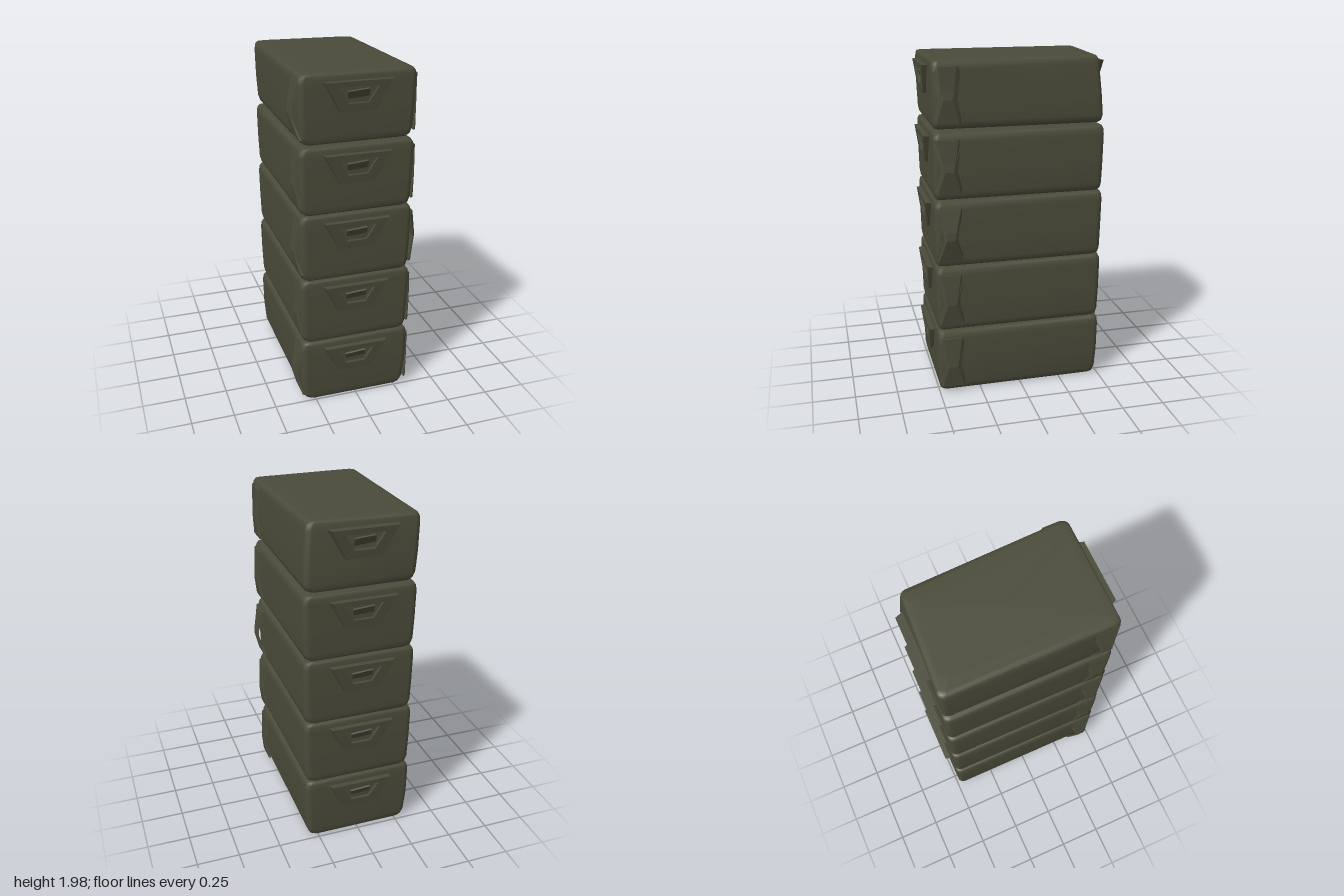
import * as THREE from 'three';

const olive = new THREE.MeshStandardMaterial({ color: 0x4b4b3a });
olive.name = 'olive drab';

// Rounded rectangle in plan, running from +x towards +z; cut pulls in the back left corner
function ring(w, d, r, y, cut) {
  const pts = [], n = 4;
  [[1, 1], [-1, 1], [-1, -1], [1, -1]].forEach(([sx, sz], q) => {
    const c = q === 3 ? cut : 0;
    for (let k = 0; k <= n; k++) {
      const a = (q + k / n) * Math.PI / 2;
      pts.push([
        sx * (w - r) + r * Math.cos(a) - c - 0.004, y,
        sz * (d - r) + r * Math.sin(a) + c + 0.006
      ]);
    }
  });
  return pts;
}

// Soft-edged case body lofted through rounded rectangles; taper pulls in the base
function bodyGeometry(y0, y1, taper, cut) {
  const h = y1 - y0, W = 0.331, D = 0.498;
  const rows = [
    [y0, 0.09 + taper], [y0, 0.03 + taper], [y0 + 0.012, 0.014 + taper], [y0 + 0.045, 0.006 + taper * 0.6],
    [y0 + h * 0.45, 0.003], [y1 - 0.05, 0], [y1 - 0.018, 0.004], [y1 - 0.003, 0.014], [y1, 0.035], [y1, 0.1]
  ];
  const pos = [], idx = [];
  rows.forEach(([y, inset]) => {
    const c = cut * Math.max(0, (y - y0) / h - 0.1);
    ring(W - inset, D - inset * 0.5, 0.035, y, c).forEach(p => pos.push(...p));
  });
  const n = pos.length / 3 / rows.length;
  for (let i = 0; i < rows.length - 1; i++) {
    for (let j = 0; j < n; j++) {
      const a = i * n + j, b = i * n + (j + 1) % n;
      idx.push(a, a + n, b, b, a + n, b + n);
    }
  }
  const bottom = pos.length / 3, top = bottom + 1, last = (rows.length - 1) * n;
  pos.push(0, y0, 0, 0, y1, 0);
  for (let j = 0; j < n; j++) {
    const k = (j + 1) % n;
    idx.push(bottom, j, k, top, last + k, last + j);
  }
  const g = new THREE.BufferGeometry();
  g.setAttribute('position', new THREE.Float32BufferAttribute(pos, 3));
  g.setIndex(idx);
  g.computeVertexNormals();
  return g;
}

const points = list => list.map(([x, y]) => new THREE.Vector2(x, y));

function part(name, geometry) {
  const m = new THREE.Mesh(geometry, olive);
  m.name = name;
  return m;
}

// Trapezoid carrying handle with an open finger recess; its top edge is at y = 0
function handle() {
  const g = new THREE.Group();
  const shape = new THREE.Shape(points([[-0.11, -0.165], [0.11, -0.165], [0.2, 0], [-0.2, 0]]));
  shape.holes.push(new THREE.Path(points([[-0.12, -0.03], [0.12, -0.03], [0.06, -0.12], [-0.06, -0.12]])));
  const frame = new THREE.ExtrudeGeometry(shape, { depth: 0.045, bevelEnabled: false });
  // Lean the lower edge back towards the case wall and slope the outer ends
  const p = frame.attributes.position;
  for (let i = 0; i < p.count; i++) {
    if (p.getZ(i) > 0.02) {
      p.setZ(i, 0.045 + p.getY(i) * 0.1);
      p.setX(i, p.getX(i) * 0.92);
    }
  }
  frame.computeVertexNormals();
  g.add(part('handleFrame', frame));
  // Folded grip inside the recess
  const grip = part('handleGrip', new THREE.BoxGeometry(0.12, 0.05, 0.01));
  grip.position.set(0, -0.07, 0.022);
  grip.rotation.set(0.5, 0, 0.12);
  g.add(grip);
  return g;
}

// Bowed strap standing off the side wall, broad at the wall and narrow at x = reach
function strap(reach, height, side) {
  const h = height / 2, t = 0.012;
  const shape = new THREE.Shape(points([
    [0.315, -h], [0.33, -h], [reach, -h * 0.15], [reach - 0.005, h * 0.15], [0.335, h], [0.315, h],
    [0.322, h - 0.03], [reach - t - 0.003, h * 0.13], [reach - t, -h * 0.13], [0.322, -h + 0.03]
  ]));
  const g = new THREE.ExtrudeGeometry(shape, { depth: 1, bevelEnabled: false });
  const p = g.attributes.position;
  for (let i = 0; i < p.count; i++) {
    const out = Math.min(1, Math.max(0, (p.getX(i) - 0.325) / (reach - 0.325)));
    const half = 0.075 - 0.05 * out;
    p.setZ(i, p.getZ(i) > 0.5 ? half : -half);
  }
  g.computeVertexNormals();
  if (side < 0) g.rotateY(Math.PI);
  return g;
}

export function createModel() {
  const model = new THREE.Group();
  model.name = 'caseStack';
  // bottom, top, base taper, corner cut, reach of the straps at -x and +x
  const cases = [
    [0.008, 0.402, 0.014, 0, 0.37, 0.35],
    [0.408, 0.803, 0.004, 0, 0.352, 0.352],
    [0.808, 1.198, 0.002, 0, 0.362, 0.368],
    [1.205, 1.588, 0.003, 0, 0.355, 0.352],
    [1.606, 1.983, 0.008, 0.04, 0.37, 0.345]
  ];
  cases.forEach(([y0, y1, taper, cut, right, left], i) => {
    const c = new THREE.Group();
    c.name = 'case' + (i + 1);
    c.add(part('caseBody', bodyGeometry(y0, y1, taper, cut)));
    // Handles on both ends
    const front = handle(), back = handle();
    front.name = 'frontHandle';
    front.position.set(-0.01, y1 - 0.04, 0.49);
    back.name = 'backHandle';
    back.position.set(-0.01, y1 - 0.04, -0.478);
    back.rotation.y = Math.PI;
    c.add(front, back);
    // Straps near the front of both sides
    [[right, -1, 'rightStrap'], [left, 1, 'leftStrap']].forEach(([reach, side, name]) => {
      const s = part(name, strap(reach, 0.31, side));
      s.position.set(0, (y0 + y1) / 2, 0.42);
      c.add(s);
    });
    model.add(c);
  });
  return model;
}
